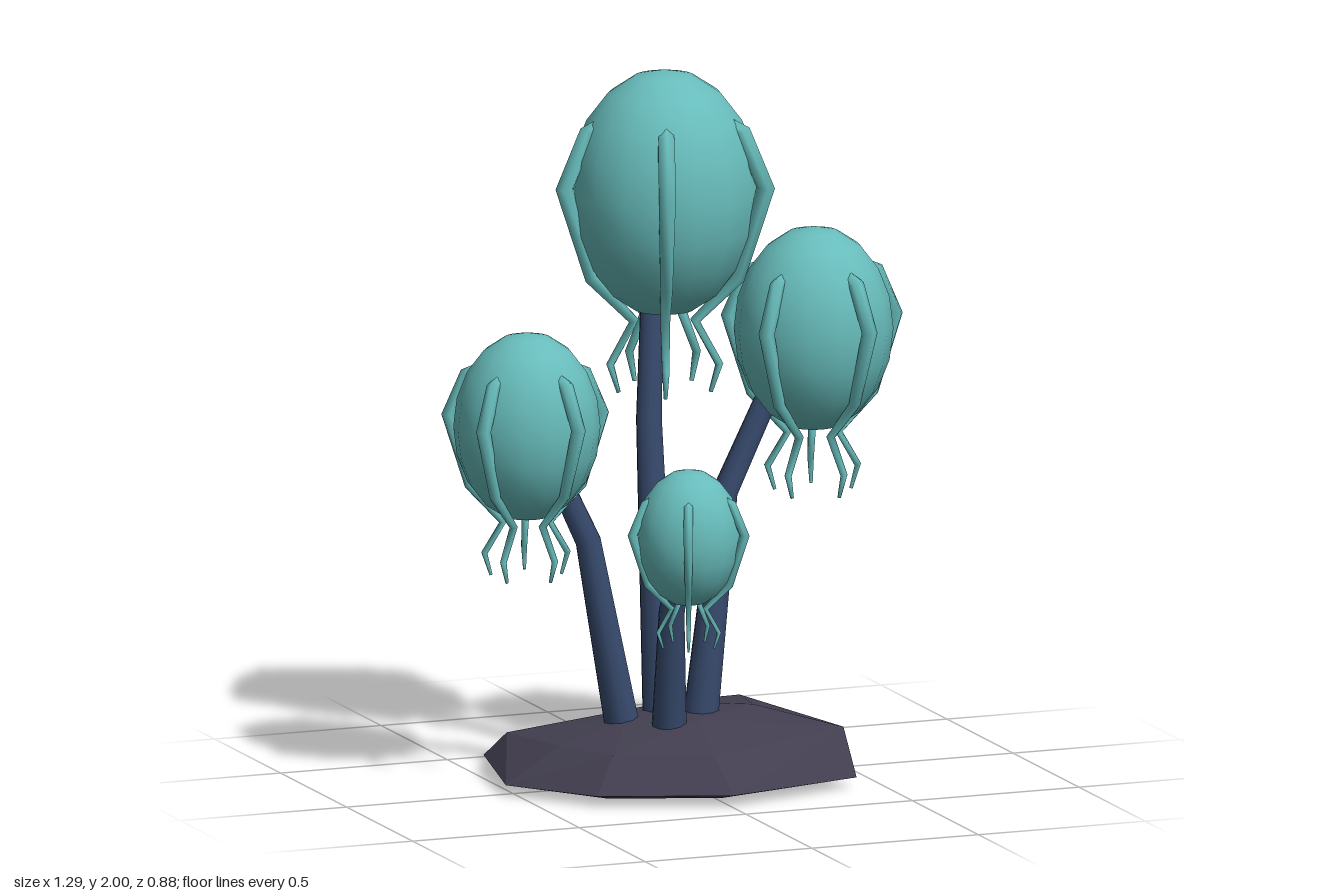
import * as THREE from 'three';
import { ConvexGeometry } from 'three/addons/geometries/ConvexGeometry.js';

const teal = new THREE.MeshStandardMaterial({ color: 0x67bcbb });
teal.name = 'teal bulb';
const navy = new THREE.MeshStandardMaterial({ color: 0x374a6d });
navy.name = 'navy stem';
const stone = new THREE.MeshStandardMaterial({ color: 0x423e50 });
stone.name = 'dark stone';

// Closed tapering tube through points, one radius per point
function limb(points, radii, sides) {
  const pts = points.map((p) => new THREE.Vector3(...p));
  const pos = [], index = [], ref = new THREE.Vector3(0, 0, 1), n = pts.length;
  pts.forEach((p, i) => {
    const t = pts[Math.min(i + 1, n - 1)].clone().sub(pts[Math.max(i - 1, 0)]).normalize();
    const u = new THREE.Vector3().crossVectors(ref, t).normalize();
    const v = new THREE.Vector3().crossVectors(t, u);
    for (let j = 0; j < sides; j++) {
      const a = (j / sides) * Math.PI * 2;
      const q = p.clone().addScaledVector(u, Math.cos(a) * radii[i]).addScaledVector(v, Math.sin(a) * radii[i]);
      pos.push(q.x, q.y, q.z);
    }
  });
  for (let i = 0; i < n - 1; i++) {
    for (let j = 0; j < sides; j++) {
      const a = i * sides + j, b = i * sides + (j + 1) % sides;
      index.push(a, b, a + sides, b, b + sides, a + sides);
    }
  }
  // End caps
  const first = n * sides, last = (n - 1) * sides;
  pos.push(...points[0], ...points[n - 1]);
  for (let j = 0; j < sides; j++) {
    const k = (j + 1) % sides;
    index.push(first, k, j, first + 1, last + j, last + k);
  }
  const g = new THREE.BufferGeometry();
  g.setAttribute('position', new THREE.Float32BufferAttribute(pos, 3));
  g.setIndex(index);
  g.computeVertexNormals();
  return g;
}

function mesh(name, geometry, material) {
  const m = new THREE.Mesh(geometry, material);
  m.name = name;
  return m;
}

// Unit-size bulb parts, shared by every bulb
const bulbGeometry = new THREE.SphereGeometry(1, 16, 10).scale(0.27, 0.35, 0.26);
// Tendril bulges outside the bulb, dips in, and leaves below it
const tendrilGeometry = limb(
  [[0.19, 0.2, 0], [0.225, 0.185, 0], [0.295, 0.03, 0], [0.215, -0.23, 0], [0.09, -0.36, 0], [0.16, -0.48, 0], [0.135, -0.56, 0]],
  [0.023, 0.027, 0.027, 0.02, 0.015, 0.012, 0.006], 6);

function makeBulb(name, [x, y, z], size, turn) {
  const g = new THREE.Group();
  g.name = name;
  g.add(mesh('bulb', bulbGeometry, teal));
  for (let i = 0; i < 5; i++) {
    const t = mesh('tendril', tendrilGeometry, teal);
    t.rotation.y = -THREE.MathUtils.degToRad(turn + i * 72);
    g.add(t);
  }
  g.position.set(x, y, z);
  g.scale.setScalar(size);
  return g;
}

export function createModel() {
  const model = new THREE.Group();
  model.name = 'bulbPlant';

  // Faceted rock: underside, rim, shoulder and crown
  const rock = [
    [-0.36, 0, -0.2], [0.24, 0, -0.3], [0.3, 0, 0.18], [0.02, 0, 0.27], [-0.28, 0, 0.16], [-0.42, 0.005, 0],
    [-0.47, 0.05, -0.3], [0.35, 0.05, -0.39], [0.42, 0.03, 0.28], [0, 0.035, 0.41], [-0.35, 0.03, 0.26], [-0.53, 0.03, 0.02],
    [-0.42, 0.12, -0.25], [0.33, 0.145, -0.38], [0.42, 0.155, 0.18], [0.26, 0.145, 0.23], [-0.02, 0.13, 0.31], [-0.28, 0.13, 0.2], [-0.37, 0.13, 0.02],
    [0.22, 0.2, 0], [0.02, 0.2, -0.12], [-0.15, 0.185, -0.02], [0.02, 0.19, 0.1],
  ].map((p) => new THREE.Vector3(...p));
  model.add(mesh('rockBase', new ConvexGeometry(rock), stone));

  // Bent stems, each with its bulb
  const plants = [
    { name: 'tall', stem: [[-0.03, 0.15, -0.07], [-0.025, 1.0, -0.17], [-0.01, 1.42, -0.18]], at: [0.005, 1.65, -0.13], size: 1, turn: 38 },
    { name: 'left', stem: [[0.06, 0.15, 0], [0.155, 0.8, -0.05], [0.29, 1.12, -0.01]], at: [0.38, 1.27, 0.055], size: 0.83, turn: 0 },
    { name: 'right', stem: [[-0.155, 0.15, -0.04], [-0.235, 0.68, -0.1], [-0.36, 0.93, -0.08]], at: [-0.435, 1.03, -0.06], size: 0.765, turn: 0 },
    { name: 'small', stem: [[-0.06, 0.15, 0.07], [-0.06, 0.5, 0.09], [-0.08, 0.68, 0.21]], at: [-0.08, 0.75, 0.27], size: 0.555, turn: 40 },
  ];
  for (const p of plants) {
    model.add(mesh(p.name + 'Stem', limb(p.stem, [0.051, 0.037, 0.032], 10), navy));
    model.add(makeBulb(p.name + 'Bulb', p.at, p.size, p.turn));
  }
  return model;
}
